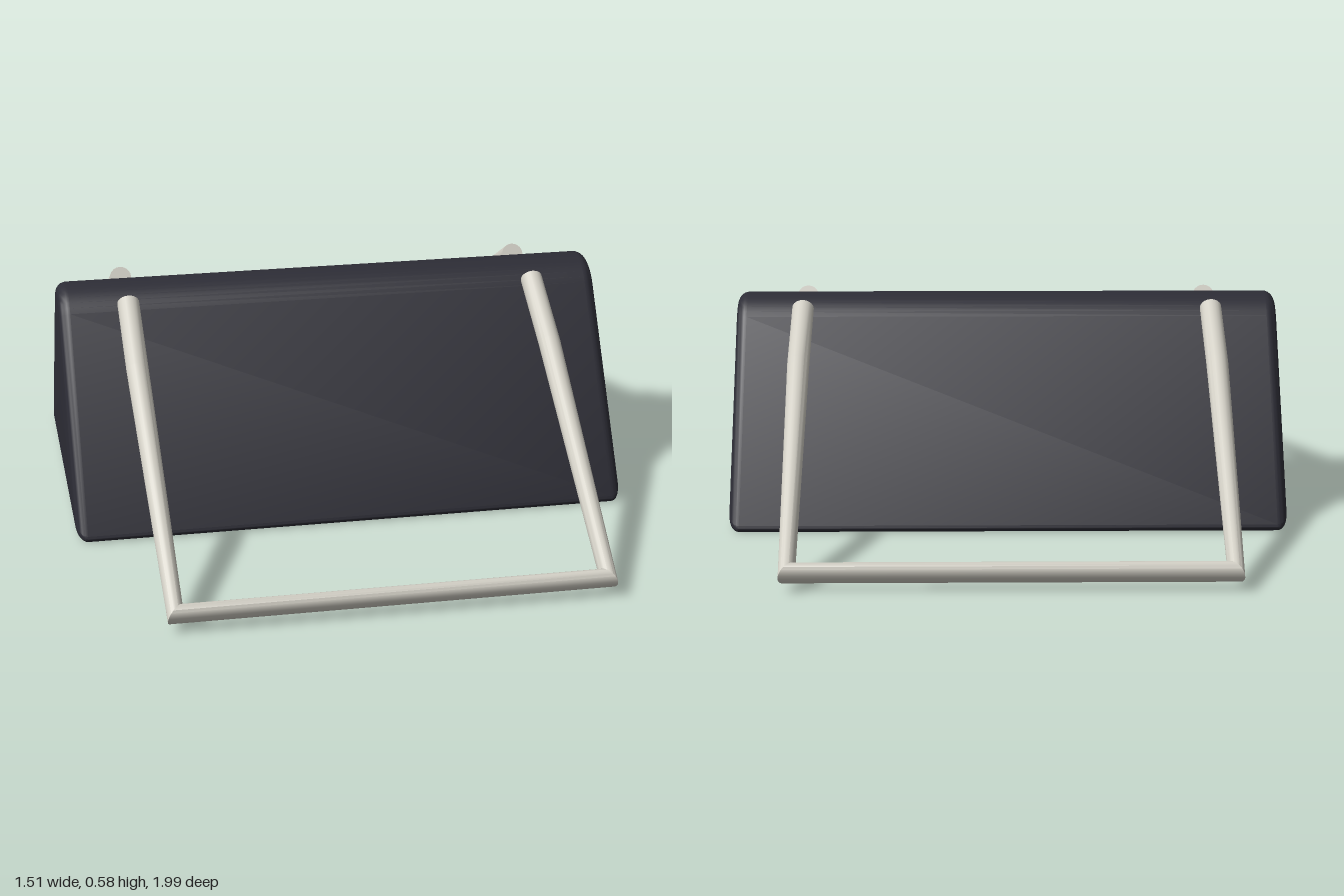
import * as THREE from 'three';
import { toCreasedNormals } from 'three/addons/utils/BufferGeometryUtils.js';

// Skin a list of equal-length rings and close both ends with fans.
function loft(rings) {
  const n = rings[0].length;
  const pos = [];
  const index = [];
  rings.forEach((ring) => ring.forEach((p) => pos.push(p.x, p.y, p.z)));
  for (let k = 0; k < rings.length - 1; k++) {
    for (let i = 0; i < n; i++) {
      const j = (i + 1) % n;
      const a = k * n, b = a + n;
      index.push(a + i, a + j, b + j, a + i, b + j, b + i);
    }
  }
  [0, rings.length - 1].forEach((k) => {
    const centre = new THREE.Vector3();
    rings[k].forEach((p) => centre.addScaledVector(p, 1 / n));
    const c = pos.length / 3;
    pos.push(centre.x, centre.y, centre.z);
    for (let i = 0; i < n; i++) {
      const a = k * n + i, b = k * n + (i + 1) % n;
      if (k === 0) index.push(c, b, a);
      else index.push(c, a, b);
    }
  });
  const geo = new THREE.BufferGeometry();
  geo.setAttribute('position', new THREE.Float32BufferAttribute(pos, 3));
  geo.setIndex(index);
  return toCreasedNormals(geo, 0.6);
}

// Triangular outline with a round ridge and tight base corners, inset by t.
function wedgeRing(x, t) {
  const slope = THREE.MathUtils.degToRad(56);
  const s = Math.sin(slope), c = Math.cos(slope);
  const ridgeY = 0.46, ridgeR = 0.12, r = 0.012;
  const cornerZ = (ridgeY * c + ridgeR - t - r - c * (t + r)) / s;
  const ring = [];
  const arc = (z, y, radius, from, to, steps) => {
    for (let i = 0; i <= steps; i++) {
      const a = from + ((to - from) * i) / steps;
      ring.push(new THREE.Vector3(x, y + radius * Math.cos(a), z + radius * Math.sin(a)));
    }
  };
  arc(0, ridgeY, ridgeR - t, -slope, slope, 14);
  arc(cornerZ, t + r, r, slope, Math.PI, 8);
  arc(-cornerZ, t + r, r, Math.PI, 2 * Math.PI - slope, 8);
  return ring;
}

function wedgeGeometry() {
  const half = 0.755, bevel = 0.03, steps = 6;
  const rings = [];
  for (const side of [-1, 1]) {
    for (let i = 0; i <= steps; i++) {
      const a = ((side < 0 ? steps - i : i) / steps) * Math.PI / 2;
      rings.push(wedgeRing(side * (half - bevel + bevel * Math.sin(a)), bevel * (1 - Math.cos(a))));
    }
  }
  return loft(rings);
}

// Bent tube: round sections set square to the mean direction at each bend.
function frameGeometry() {
  const radius = 0.03, sides = 20;
  const half = [[0.567, 0.552, 0.105], [0.567, 0.437, 0.315], [0.555, 0.046, 0.973]];
  const path = [
    ...half.map(([x, y, z]) => new THREE.Vector3(x, y, z)),
    ...half.slice().reverse().map(([x, y, z]) => new THREE.Vector3(-x, y, z)),
  ];
  const up = new THREE.Vector3(0, 0.86, 0.51);
  const dir = (i) => path[i + 1].clone().sub(path[i]).normalize();
  const last = path.length - 1;
  const rings = path.map((p, i) => {
    const t = new THREE.Vector3();
    if (i > 0) t.add(dir(i - 1));
    if (i < last) t.add(dir(i));
    t.normalize();
    const u = up.clone().cross(t).normalize();
    const v = t.clone().cross(u);
    return Array.from({ length: sides }, (_, k) => {
      const a = (k / sides) * Math.PI * 2;
      return p.clone().addScaledVector(u, radius * Math.cos(a)).addScaledVector(v, radius * Math.sin(a));
    });
  });
  return loft(rings);
}

export function createModel() {
  const group = new THREE.Group();
  const dark = new THREE.MeshStandardMaterial({ color: 0x2d2d36 });
  dark.name = 'darkPadding';
  const pale = new THREE.MeshStandardMaterial({ color: 0xd2cfc5 });
  pale.name = 'paleTube';

  // Padded wedge
  const body = new THREE.Mesh(wedgeGeometry(), dark);
  body.name = 'wedgeBody';
  group.add(body);

  // Matching U-shaped frames front and back
  const tube = frameGeometry();
  ['frontFrame', 'backFrame'].forEach((name, i) => {
    const frame = new THREE.Mesh(tube, pale);
    frame.name = name;
    frame.rotation.y = i * Math.PI;
    group.add(frame);
  });
  return group;
}
